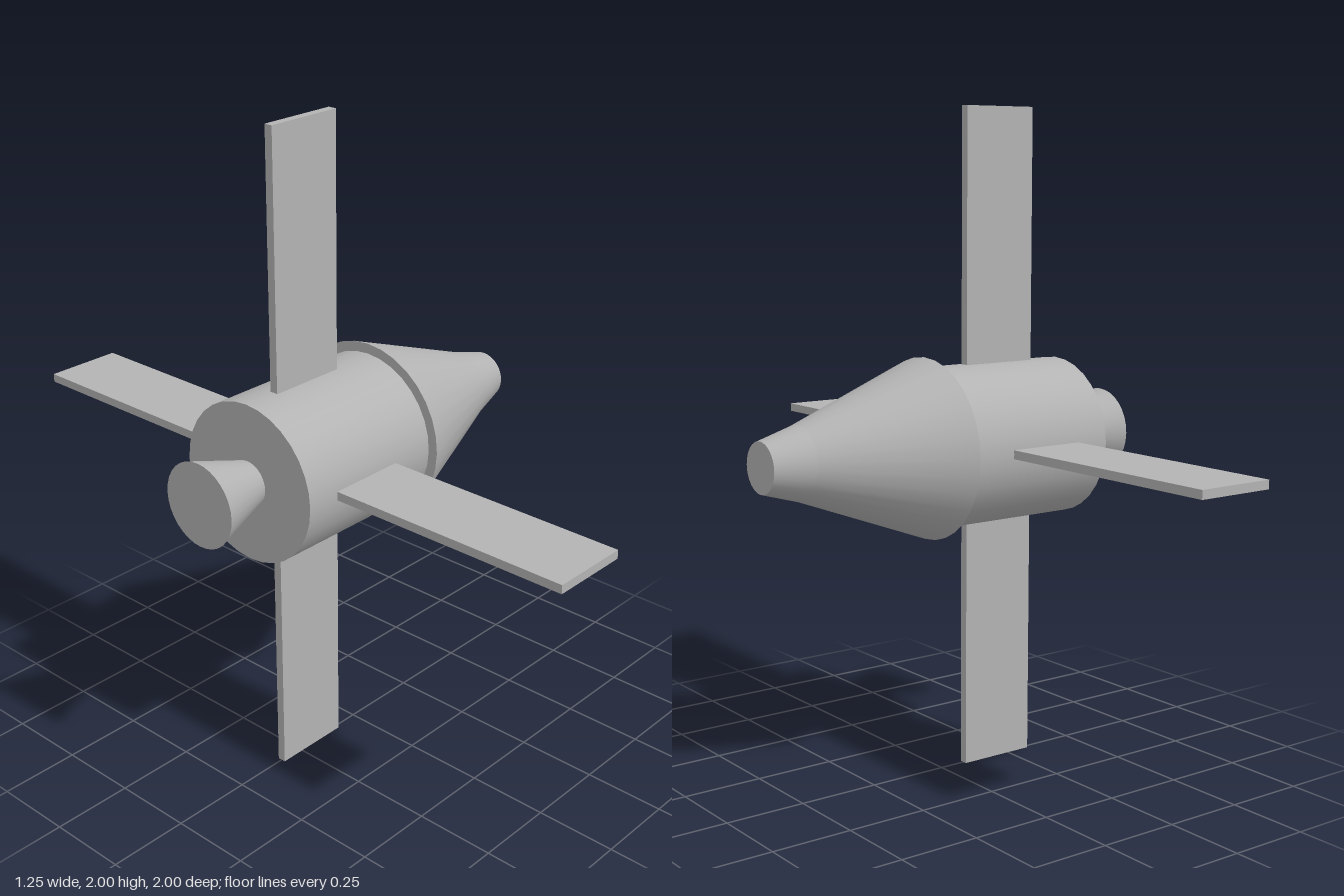
import * as THREE from 'three';

export function createModel() {
  const model = new THREE.Group();
  model.name = 'spacecraft';
  const grey = new THREE.MeshStandardMaterial({ color: 0xb3b3b3 });
  grey.name = 'hull grey';

  const add = (name, geometry) => {
    const mesh = new THREE.Mesh(geometry, grey);
    mesh.name = name;
    model.add(mesh);
    return mesh;
  };

  // Round section lying along x, from x0 (radius r0) to x1 (radius r1)
  const section = (name, x0, r0, x1, r1) => {
    const geometry = new THREE.CylinderGeometry(r1, r0, x1 - x0, 32);
    geometry.rotateZ(-Math.PI / 2);
    add(name, geometry).position.set((x0 + x1) / 2, 1, 0);
  };

  section('engineNozzle', -0.625, 0.128, -0.438, 0.068);
  section('serviceModule', -0.438, 0.241, 0.063, 0.241);
  section('crewCapsule', 0.063, 0.272, 0.5, 0.11);
  section('noseCap', 0.5, 0.11, 0.622, 0.075);

  // Four solar panels spaced evenly around the service module
  const inner = 0.22;
  for (let i = 0; i < 4; i++) {
    const panel = new THREE.BoxGeometry(0.245, 1 - inner, 0.026);
    panel.translate(-0.206, (1 + inner) / 2, 0);
    panel.rotateX((i * Math.PI) / 2);
    add('solarPanel' + (i + 1), panel).position.y = 1;
  }

  return model;
}
